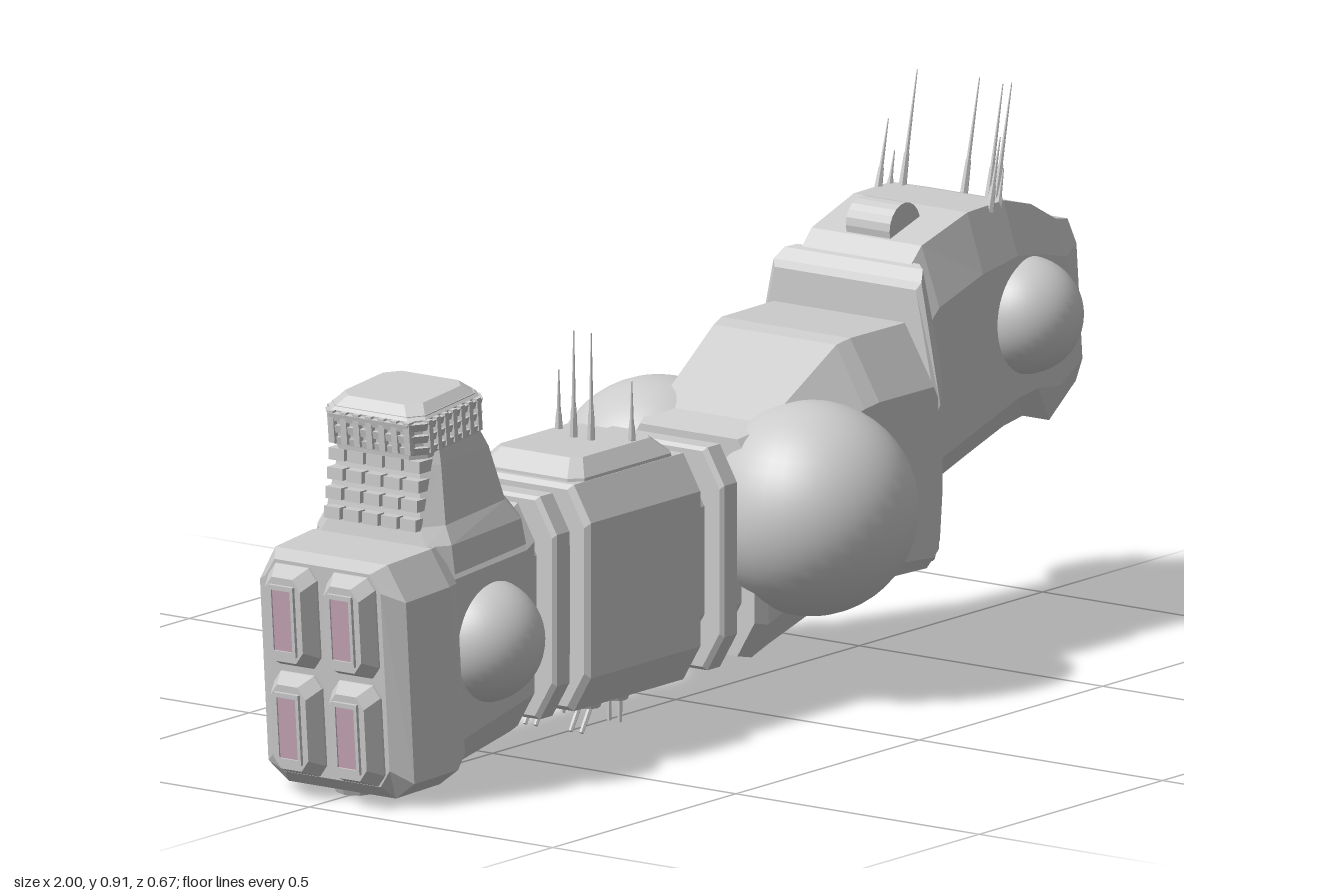
import * as THREE from 'three';

const grey = new THREE.MeshStandardMaterial({ color: 0xcccccc, flatShading: true });
const smooth = new THREE.MeshStandardMaterial({ color: 0xcccccc });
const glow = new THREE.MeshStandardMaterial({ color: 0xc4a4b4, flatShading: true });

// Chamfered hull lofted along x. Section:
// [xBottom, xTop, yBottom, yTop, halfWidth, bottom chamfer z, y, top chamfer z, y]
function loft(sections) {
  const pos = [], index = [], n = 8;
  for (const [xb, xt, yb, yt, w, bz, by, tz, ty] of sections) {
    const side = [[w - tz, yt], [w, yt - ty], [w, yb + by], [w - bz, yb]];
    const ring = [...side, ...side.slice().reverse().map(([z, y]) => [-z, y])];
    for (const [z, y] of ring) pos.push(xb + (xt - xb) * (y - yb) / (yt - yb), y, z);
  }
  const last = (sections.length - 1) * n;
  for (let s = 0; s < last; s += n) {
    for (let j = 0; j < n; j++) {
      const a = s + j, b = s + (j + 1) % n;
      index.push(a, b, b + n, a, b + n, a + n);
    }
  }
  for (let j = 1; j < n - 1; j++) index.push(0, j + 1, j, last, last + j, last + j + 1);
  const indexed = new THREE.BufferGeometry();
  indexed.setAttribute('position', new THREE.Float32BufferAttribute(pos, 3));
  indexed.setIndex(index);
  const g = indexed.toNonIndexed();
  g.computeVertexNormals();
  return g;
}

function add(parent, name, geometry, material = grey, x = 0, y = 0, z = 0) {
  const m = new THREE.Mesh(geometry, material);
  m.name = name;
  m.position.set(x, y, z);
  parent.add(m);
  return m;
}

// Tapered rod between two points
function rod(parent, name, from, to, r0, r1) {
  const a = new THREE.Vector3(...from), d = new THREE.Vector3(...to).sub(a);
  const m = add(parent, name, new THREE.CylinderGeometry(r1, r0, d.length(), 6));
  m.position.copy(a).addScaledVector(d, 0.5);
  m.quaternion.setFromUnitVectors(new THREE.Vector3(0, 1, 0), d.normalize());
}

// Antenna with a thicker foot
function antenna(parent, x, y, z, tx, ty) {
  const mid = (k) => [x + (tx - x) * k, y + (ty - y) * k, z];
  rod(parent, 'antennaFoot', mid(-0.1), mid(0.28), 0.008, 0.005);
  rod(parent, 'antennaMast', mid(0.25), [tx, ty, z], 0.004, 0.001);
}

// Straight chamfered slab with bevelled ends
function slab(x0, x1, yb, yt, w, bevel) {
  const s = (x, d) => [x, x, yb + d, yt - d, w - d, 0.035, 0.06, 0.035, 0.06];
  return loft([s(x0, bevel), s(x0 + bevel, 0), s(x1 - bevel, 0), s(x1, bevel)]);
}

export function createModel() {
  const ship = new THREE.Group();
  ship.name = 'spaceship';

  // Head
  add(ship, 'head', loft([
    [0.5, 0.465, 0.27, 0.63, 0.146, 0.03, 0.05, 0.035, 0.09],
    [0.53, 0.52, 0.28, 0.685, 0.148, 0.03, 0.05, 0.035, 0.1],
    [0.64, 0.64, 0.315, 0.72, 0.149, 0.03, 0.05, 0.032, 0.1],
    [0.74, 0.74, 0.342, 0.722, 0.145, 0.03, 0.05, 0.03, 0.09],
    [0.81, 0.83, 0.345, 0.698, 0.132, 0.03, 0.05, 0.028, 0.08],
    [0.905, 0.93, 0.318, 0.652, 0.105, 0.02, 0.06, 0.025, 0.06],
    [0.998, 0.975, 0.366, 0.643, 0.086, 0.016, 0.04, 0.016, 0.04],
  ]));
  const drum = add(ship, 'headDrum', new THREE.CylinderGeometry(0.042, 0.042, 0.09, 20), grey, 0.565, 0.698, 0);
  drum.rotation.x = Math.PI / 2;

  // Collar and bow hull
  add(ship, 'collar', loft([
    [0.455, 0.462, 0.175, 0.625, 0.19, 0.02, 0.03, 0.045, 0.2],
    [0.465, 0.468, 0.18, 0.637, 0.192, 0.02, 0.03, 0.04, 0.2],
    [0.485, 0.485, 0.25, 0.655, 0.182, 0.03, 0.03, 0.04, 0.2],
    [0.5, 0.498, 0.275, 0.66, 0.165, 0.02, 0.03, 0.04, 0.15],
  ]));
  add(ship, 'bowHull', loft([
    [0.035, 0.035, 0.08, 0.445, 0.135, 0.035, 0.06, 0.035, 0.06],
    [0.06, 0.06, 0.075, 0.452, 0.145, 0.035, 0.06, 0.035, 0.06],
    [0.1, 0.1, 0.09, 0.462, 0.148, 0.035, 0.06, 0.035, 0.06],
    [0.26, 0.27, 0.165, 0.565, 0.186, 0.03, 0.04, 0.06, 0.1],
    [0.3, 0.3, 0.166, 0.572, 0.192, 0.02, 0.03, 0.06, 0.1],
    [0.445, 0.445, 0.165, 0.572, 0.195, 0.015, 0.02, 0.06, 0.1],
    [0.465, 0.462, 0.175, 0.55, 0.19, 0.015, 0.02, 0.06, 0.1],
  ]));

  // Grid of armour panels on the slope below the head
  for (let row = 0; row < 4; row++) {
    const width = 0.092 - row * 0.005;
    for (let col = 0; col < 4; col++) {
      const p = add(ship, 'jawPanel', slab(-0.016, 0.014, -0.012, 0.012, width / 2 - 0.004, 0.004), grey,
        0.464 + row * 0.0095, 0.186 + row * 0.026, (col - 1.5) * width);
      p.geometry = loft([
        [-0.02, -0.02, -0.012, 0.012, width / 2 - 0.003, 0.004, 0.004, 0.004, 0.004],
        [0.005, 0.005, -0.012, 0.012, width / 2 - 0.003, 0.004, 0.004, 0.004, 0.004],
        [0.012, 0.012, -0.007, 0.007, width / 2 - 0.01, 0.003, 0.003, 0.003, 0.003],
      ]);
      p.rotation.z = -0.35;
    }
  }

  // Necks, rings and middle hull
  add(ship, 'frontNeck', slab(-0.14, 0.05, 0.11, 0.412, 0.108, 0.002));
  add(ship, 'rearNeck', slab(-0.59, -0.41, 0.11, 0.412, 0.108, 0.002));
  for (const x of [-0.5, -0.043]) add(ship, 'ring', slab(x - 0.023, x + 0.023, 0.075, 0.45, 0.145, 0.006));
  add(ship, 'middleHull', slab(-0.432, -0.118, 0.072, 0.453, 0.145, 0.008));
  const deck = add(ship, 'upperDeck', loft([
    [0.43, 0.43, 0.135, 0.415, 0.113, 0.02, 0.02, 0.02, 0.02],
    [0.458, 0.458, 0.137, 0.413, 0.108, 0.02, 0.02, 0.02, 0.02],
    [0.486, 0.486, 0.17, 0.382, 0.085, 0.015, 0.015, 0.015, 0.015],
  ]));
  deck.rotation.z = Math.PI / 2;

  // Stern
  add(ship, 'sternHull', loft([
    [-0.78, -0.81, 0.04, 0.415, 0.146, 0.03, 0.05, 0.03, 0.05],
    [-0.6, -0.6, 0.07, 0.44, 0.146, 0.035, 0.06, 0.035, 0.06],
    [-0.575, -0.575, 0.075, 0.45, 0.143, 0.035, 0.06, 0.035, 0.06],
    [-0.568, -0.568, 0.08, 0.44, 0.136, 0.035, 0.06, 0.035, 0.06],
  ]));
  add(ship, 'engineBlock', loft([
    [-0.935, -0.965, 0.035, 0.398, 0.118, 0.02, 0.03, 0.02, 0.03],
    [-0.91, -0.94, 0.013, 0.412, 0.15, 0.04, 0.03, 0.035, 0.06],
    [-0.8, -0.83, 0.018, 0.42, 0.157, 0.04, 0.03, 0.035, 0.06],
    [-0.772, -0.802, 0.04, 0.42, 0.15, 0.04, 0.03, 0.035, 0.06],
  ]));
  for (const [yc, xc] of [[0.306, -0.966], [0.122, -0.951]]) {
    for (const s of [-1, 1]) {
      const pod = add(ship, 'enginePod', loft([
        [-0.024, -0.024, -0.072, 0.072, 0.036, 0.015, 0.02, 0.015, 0.02],
        [0.005, 0.005, -0.086, 0.086, 0.049, 0.015, 0.02, 0.015, 0.02],
        [0.04, 0.04, -0.086, 0.086, 0.052, 0.015, 0.02, 0.015, 0.02],
      ]), grey, xc, yc, s * 0.06);
      pod.rotation.z = 0.08;
      add(pod, 'engineGlow', new THREE.BoxGeometry(0.006, 0.105, 0.04), glow, -0.024, 0, 0);
      for (const e of [-1, 1]) {
        add(pod, 'engineFrame', new THREE.BoxGeometry(0.014, 0.12, 0.006), grey, -0.023, 0, e * 0.022);
        add(pod, 'engineFrame', new THREE.BoxGeometry(0.014, 0.008, 0.044), grey, -0.023, e * 0.056, 0);
      }
    }
  }
  add(ship, 'keelHatch', new THREE.CylinderGeometry(0.042, 0.034, 0.018, 8), grey, -0.87, 0.012, 0);
  add(ship, 'keelHatchHub', new THREE.CylinderGeometry(0.02, 0.02, 0.02, 8), grey, -0.87, 0.01, 0);

  // Command tower, lofted upward
  const tower = add(ship, 'tower', loft([
    [0.36, 0.36, 0.56, 0.82, 0.143, 0.03, 0.03, 0.03, 0.03],
    [0.435, 0.42, 0.575, 0.825, 0.138, 0.03, 0.03, 0.03, 0.03],
    [0.47, 0.45, 0.598, 0.82, 0.122, 0.03, 0.03, 0.03, 0.03],
    [0.56, 0.55, 0.625, 0.805, 0.105, 0.025, 0.025, 0.025, 0.025],
    [0.6, 0.59, 0.645, 0.8, 0.095, 0.025, 0.025, 0.025, 0.025],
  ]));
  tower.rotation.z = Math.PI / 2;
  for (let i = 0; i < 4; i++) {
    for (let j = -2; j <= 2; j++) {
      add(ship, 'towerWindow', new THREE.BoxGeometry(0.035, 0.02, 0.032), grey, -0.818 + i * 0.004, 0.455 + i * 0.032, j * 0.039);
    }
  }

  // Ribbed, slightly tilted tower cap
  const cap = new THREE.Group();
  cap.name = 'towerCap';
  cap.position.set(-0.736, 0.575, 0);
  cap.rotation.z = 0.1;
  ship.add(cap);
  const capLayer = (name, h0, h1, l0, l1, w0, w1) => {
    const s = (h, l, w) => [h, h, -l, l, w, 0.022, 0.022, 0.022, 0.022];
    add(cap, name, loft([s(h0, l0, w0), s(h1, l1, w1)])).rotation.z = Math.PI / 2;
  };
  capLayer('capCore', -0.005, 0.07, 0.088, 0.09, 0.094, 0.096);
  for (let i = 0; i < 3; i++) capLayer('capRib', i * 0.021 + 0.004, i * 0.021 + 0.017, 0.092 + i * 0.003, 0.094 + i * 0.003, 0.1, 0.104);
  capLayer('capRoof', 0.064, 0.085, 0.095, 0.074, 0.1, 0.08);
  for (let i = -3; i <= 3; i++) {
    add(cap, 'capMullion', new THREE.BoxGeometry(0.014, 0.055, 0.012), grey, -0.092, 0.035, i * 0.026);
    for (const s of [-1, 1]) add(cap, 'capMullion', new THREE.BoxGeometry(0.01, 0.055, 0.014), grey, i * 0.022, 0.035, s * 0.098);
  }

  // Side domes, mirrored: x, y, z, radius
  for (const [x, y, z, r] of [[0.778, 0.525, 0.13, 0.098], [0.16, 0.315, 0.157, 0.178], [-0.688, 0.242, 0.12, 0.104]]) {
    for (const s of [-1, 1]) add(ship, 'sideDome', new THREE.SphereGeometry(r, 36, 24), smooth, x, y, s * z);
  }

  // Antennas and belly turrets
  for (const s of [-1, 1]) {
    antenna(ship, 0.735, 0.72, s * 0.088, 0.775, 0.908);
    antenna(ship, 0.83, 0.7, s * 0.033, 0.872, 0.885);
    antenna(ship, 0.705, 0.72, s * 0.115, 0.732, 0.83);
    antenna(ship, 0.73, 0.71, s * 0.112, 0.745, 0.775);
    antenna(ship, -0.255, 0.485, s * 0.018, -0.255, 0.665);
    antenna(ship, -0.22, 0.485, s * 0.075, -0.22, 0.585);
    for (const [x, lean] of [[-0.305, -0.03], [-0.23, 0]]) {
      add(ship, 'turretBase', new THREE.CylinderGeometry(0.03, 0.022, 0.024, 10), grey, x, 0.062, s * 0.047);
      for (const e of [-1, 1]) rod(ship, 'turretBarrel', [x, 0.06, s * 0.047 + e * 0.011], [x + lean, 0.012, s * 0.047 + e * 0.011], 0.005, 0.004);
    }
  }
  return ship;
}
